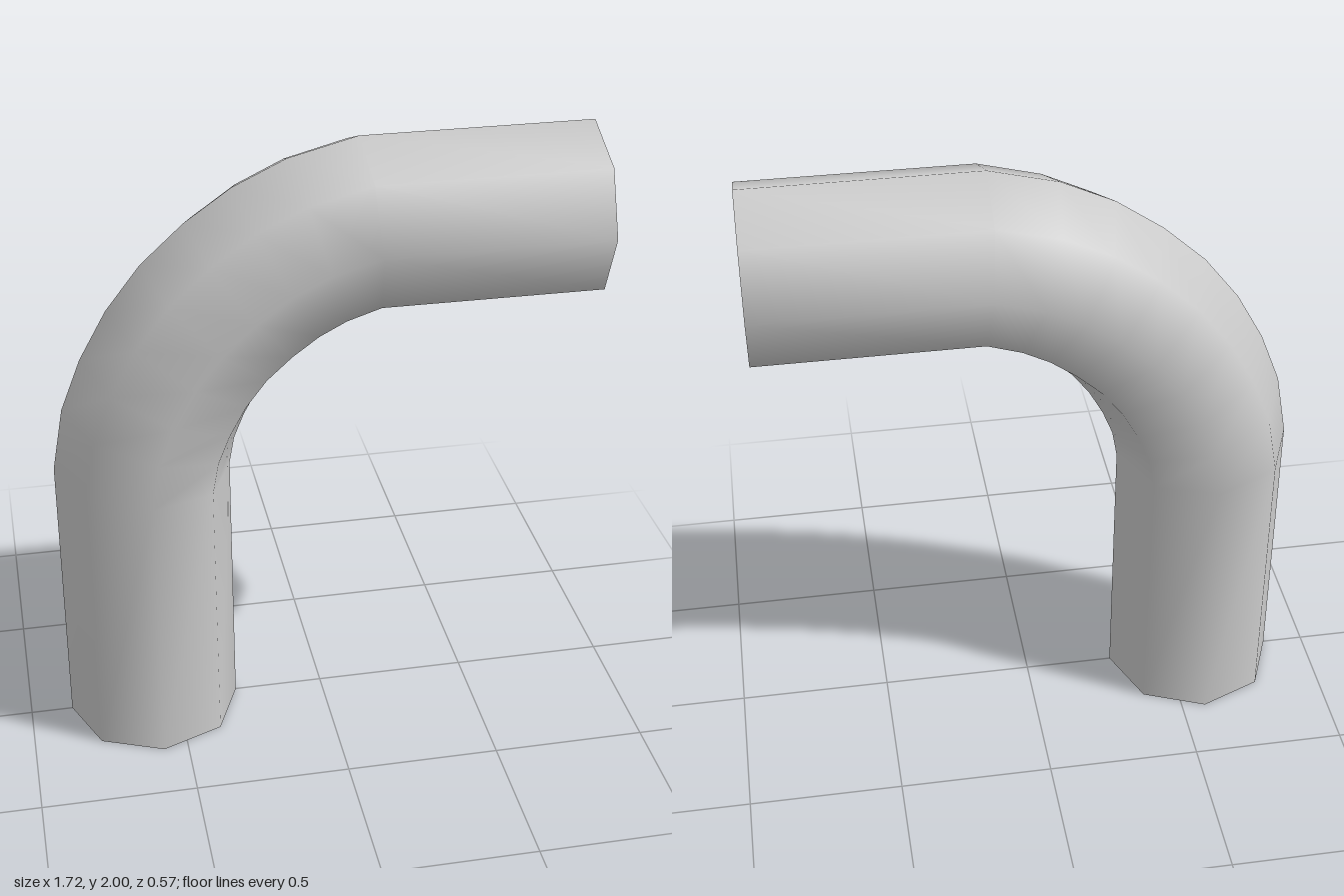
import * as THREE from 'three';

const SIDES = 8;
const OUTER = 0.283;
const INNER = 0.25;

// Pipe stations: centre x, centre y, turn of the cross-section in degrees
const PATH = [
  [-0.58, 0, 0],
  [-0.58, 0.93, 4],
  [-0.553, 1.08, 16],
  [-0.503, 1.207, 25.5],
  [-0.435, 1.33, 34],
  [-0.35, 1.44, 43],
  [-0.246, 1.535, 52],
  [-0.135, 1.614, 61.5],
  [-0.015, 1.673, 72.5],
  [0.14, 1.717, 86],
  [0.86, 1.717, 90],
];

// Octagonal cross-section at one station, first corner on the outside of the bend
function ring([x, y, degrees], radius) {
  const turn = THREE.MathUtils.degToRad(degrees);
  return Array.from({ length: SIDES }, (_, j) => {
    const t = (j / SIDES) * Math.PI * 2;
    const out = radius * Math.cos(t);
    return [x - out * Math.cos(turn), y + out * Math.sin(turn), radius * Math.sin(t)];
  });
}

// Closed band of quads joining successive rings, with smooth normals
function skin(name, rings, material) {
  const index = [];
  for (let i = 0; i < rings.length - 1; i++) {
    for (let j = 0; j < SIDES; j++) {
      const a = i * SIDES + j;
      const b = i * SIDES + ((j + 1) % SIDES);
      index.push(a, b, b + SIDES, a, b + SIDES, a + SIDES);
    }
  }
  const geometry = new THREE.BufferGeometry();
  geometry.setAttribute('position', new THREE.Float32BufferAttribute(rings.flat(2), 3));
  geometry.setIndex(index);
  geometry.computeVertexNormals();
  const mesh = new THREE.Mesh(geometry, material);
  mesh.name = name;
  return mesh;
}

export function createModel() {
  const material = new THREE.MeshStandardMaterial({ color: 0xcccccc });
  const outer = PATH.map((station) => ring(station, OUTER));
  const inner = PATH.map((station) => ring(station, INNER));

  const pipe = new THREE.Group();
  pipe.name = 'elbowPipe';
  pipe.add(
    skin('outerWall', outer, material),
    skin('innerWall', [...inner].reverse(), material), // reversed to face the bore
    skin('bottomRim', [inner[0], outer[0]], material),
    skin('openingRim', [outer.at(-1), inner.at(-1)], material),
  );
  return pipe;
}
